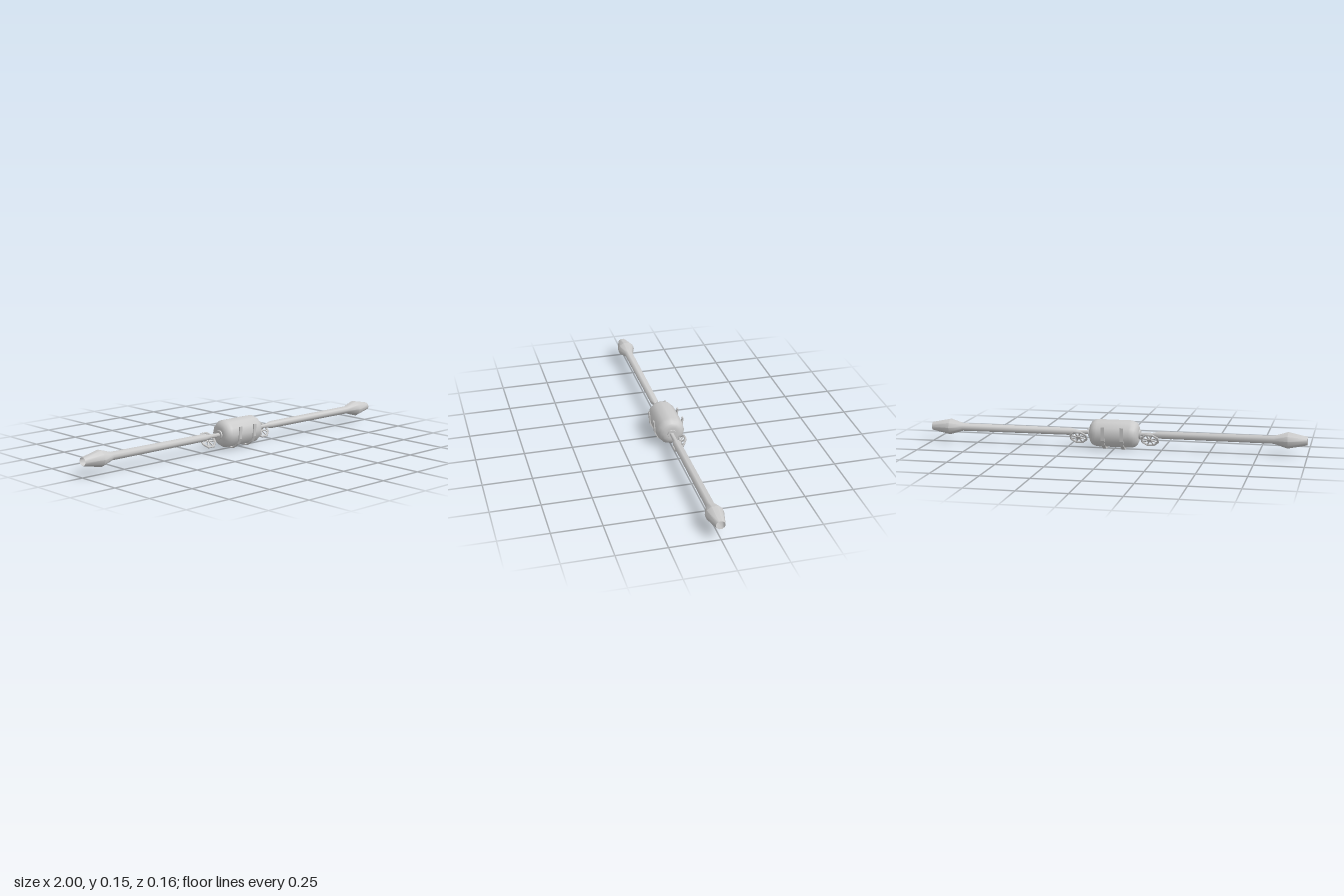
import * as THREE from 'three';
import { toCreasedNormals } from 'three/addons/utils/BufferGeometryUtils.js';

const material = new THREE.MeshStandardMaterial({ color: 0xcccccc, side: THREE.DoubleSide });
const AXIS_Y = 0.082;

function mesh(name, geometry) {
  const m = new THREE.Mesh(geometry, material);
  m.name = name;
  return m;
}

// Turned part along the x axis; profile points are [x, radius]
function turned(name, profile, sides) {
  const points = profile.map(([x, r]) => new THREE.Vector2(r, x));
  const geometry = new THREE.LatheGeometry(points, sides).rotateZ(-Math.PI / 2);
  return mesh(name, toCreasedNormals(geometry, 0.75));
}

// Handwheel built in the xy plane, with its stem running along +z
function createHandwheel() {
  const wheel = new THREE.Group();
  wheel.name = 'handwheel';
  const rim = new THREE.TorusGeometry(0.045, 0.006, 5, 8).rotateZ(Math.PI / 8);
  wheel.add(mesh('wheelRim', rim));
  wheel.add(mesh('wheelHub', new THREE.CylinderGeometry(0.013, 0.013, 0.012, 8).rotateX(Math.PI / 2)));
  for (let i = 0; i < 8; i++) {
    const spoke = new THREE.BoxGeometry(0.036, 0.006, 0.005).translate(0.026, 0, 0);
    wheel.add(mesh('wheelSpoke', spoke.rotateZ(i * Math.PI / 4 + Math.PI / 8)));
  }
  const stem = new THREE.CylinderGeometry(0.006, 0.006, 0.036, 8).rotateX(Math.PI / 2);
  wheel.add(mesh('valveStem', stem.translate(0, 0, 0.016)));
  return wheel;
}

// Hollow pipe with a narrow valve neck and a flared nozzle
function createArm(side) {
  const arm = new THREE.Group();
  arm.name = side > 0 ? 'leftArm' : 'rightArm';
  const pipe = turned('pipeAndNozzle', [
    [0.125, 0.011], [0.2, 0.011], [0.235, 0.021], [0.83, 0.023],
    [0.9, 0.047], [1, 0.024],
  ], 10);
  pipe.scale.y = 0.9;
  pipe.position.set(0, AXIS_Y, 0.004);
  const collar = turned('neckCollar', [
    [0.126, 0.011], [0.126, 0.024], [0.138, 0.024], [0.138, 0.011],
  ], 10);
  collar.position.set(0, AXIS_Y, 0.002);
  // Tilted so the face looks forward and up
  const wheel = createHandwheel();
  wheel.position.set(0.19, 0.058, -0.022);
  wheel.rotation.x = -0.72;
  arm.add(pipe, collar, wheel);
  if (side < 0) arm.rotation.y = Math.PI;
  if (side < 0) {
    // Keep the wheel behind and the pipe offset the same on both arms
    wheel.position.z *= -1;
    wheel.rotation.x *= -1;
    wheel.rotation.y = Math.PI;
    wheel.rotation.order = 'XYZ';
    pipe.position.z *= -1;
    collar.position.z *= -1;
  }
  return arm;
}

// Rounded tank, open where the pipes enter
function createTank() {
  const profile = [[-0.13, 0.011], [-0.13, 0.032]];
  for (let i = 1; i <= 5; i++) {
    const a = i * Math.PI / 10;
    profile.push([-0.085 - 0.045 * Math.cos(a), 0.032 + 0.041 * Math.sin(a)]);
  }
  const mirrored = profile.map(([x, r]) => [-x, r]).reverse();
  const tank = turned('tank', [...profile, ...mirrored], 12);
  tank.position.y = AXIS_Y;
  return tank;
}

// Faceted U-shaped strap cradling the tank
function createStrap(x) {
  const outer = [
    [0.081, 0.124], [0.076, 0.058], [0.062, 0.03], [0.02, 0.002],
    [-0.019, 0.002], [-0.054, 0.024], [-0.072, 0.053], [-0.079, 0.126],
  ];
  const inner = outer.map(([z, y], i) => {
    if (i === 0 || i === outer.length - 1) return [z - Math.sign(z) * 0.006, y];
    const d = Math.hypot(z, y - AXIS_Y);
    const k = (d - 0.006) / d;
    return [z * k, AXIS_Y + (y - AXIS_Y) * k];
  });
  // Drawn with shape x = -z, so that a quarter turn about y puts it across the tank
  const points = [...outer, ...inner.reverse()].map(([z, y]) => new THREE.Vector2(-z, y));
  const geometry = new THREE.ExtrudeGeometry(new THREE.Shape(points), { depth: 0.018, bevelEnabled: false });
  geometry.translate(0, 0, -0.009).rotateY(Math.PI / 2);
  const strap = mesh('tankStrap', geometry);
  strap.position.x = x;
  return strap;
}

export function createModel() {
  const model = new THREE.Group();
  model.name = 'twinNozzleTank';
  model.add(createTank());
  for (const side of [1, -1]) {
    model.add(createArm(side), createStrap(side * 0.05));
  }
  return model;
}
